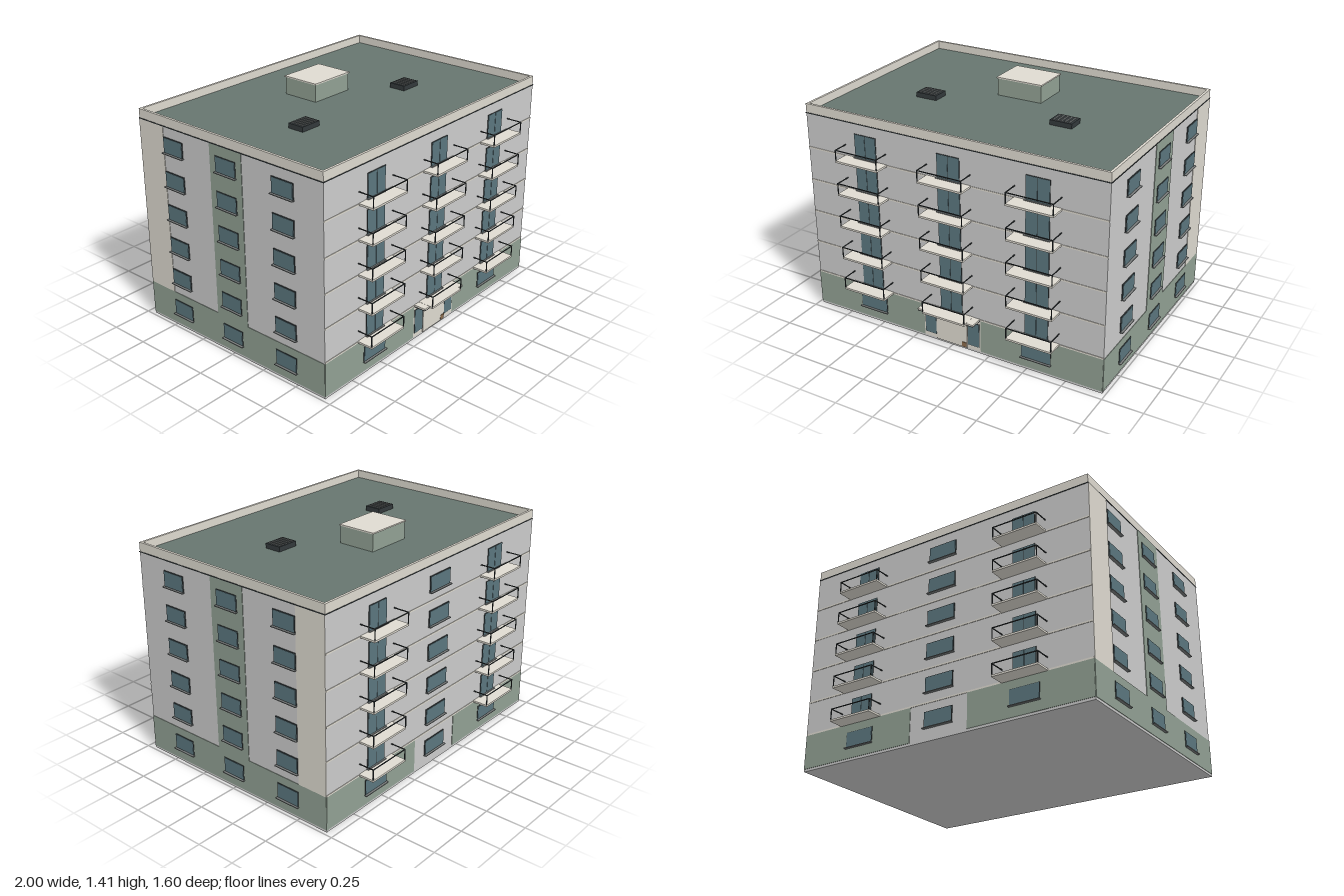
import * as THREE from 'three';

const mat = (color) => new THREE.MeshStandardMaterial({ color });
const M = {
  wall: mat(0xcccccc), green: mat(0x91a093), cream: mat(0xdedad0), glass: mat(0x5b767e),
  dark: mat(0x33393b), roof: mat(0x66756f), sill: mat(0x777b7b), wood: mat(0x8a6b4c),
};
const W = 0.98, D = 0.7, PITCH = 0.21, WALL_TOP = 1.29, BASE_TOP = 0.225;

// Axis-aligned block given by its limits
function block(parent, name, material, x0, x1, y0, y1, z0, z1) {
  const m = new THREE.Mesh(new THREE.BoxGeometry(x1 - x0, y1 - y0, z1 - z0), material);
  m.position.set((x0 + x1) / 2, (y0 + y1) / 2, (z0 + z1) / 2);
  m.name = name;
  parent.add(m);
  return m;
}

// Facade group: local z = 0 is the wall surface, +z points outward
function facade(parent, name, angle, dist) {
  const g = new THREE.Group();
  g.name = name;
  g.rotation.y = angle;
  g.position.set(Math.sin(angle) * dist, 0, Math.cos(angle) * dist);
  parent.add(g);
  return g;
}

function addWindow(parent, x, y, w, h = 0.095) {
  const g = new THREE.Group();
  g.name = 'window';
  g.position.set(x, y, 0);
  block(g, 'windowFrame', M.dark, -w / 2, w / 2, 0, h, 0, 0.006);
  block(g, 'windowGlass', M.glass, -w / 2 + 0.003, w / 2 - 0.003, 0.003, h - 0.003, 0, 0.008);
  block(g, 'windowSill', M.sill, -w / 2 - 0.004, w / 2 + 0.004, -0.005, 0, 0, 0.02);
  parent.add(g);
}

// Balcony with glazed door, slab and open railing; y is the slab's underside
function addBalcony(parent, x, y) {
  const g = new THREE.Group();
  g.name = 'balcony';
  g.position.set(x, y, 0);
  const w = 0.145, d = 0.1, top = 0.08, t = 0.005;
  block(g, 'doorFrame', M.dark, -0.074, 0.074, 0.012, 0.16, 0, 0.004);
  for (const s of [-1, 1])
    block(g, 'doorGlass', M.glass, s < 0 ? -0.072 : 0.002, s < 0 ? -0.002 : 0.072, 0.012, 0.158, 0, 0.006);
  block(g, 'doorThreshold', M.sill, -0.08, 0.08, 0.012, 0.017, 0, 0.015);
  block(g, 'balconySlab', M.cream, -w, w, 0, 0.012, 0, d);
  block(g, 'frontRail', M.dark, -w, w, top - t, top, d - t, d);
  for (const s of [-1, 1]) {
    const a = s < 0 ? -w : w - t;
    block(g, 'sideRail', M.dark, a, a + t, top - t, top, 0, d - t);
    block(g, 'railPost', M.dark, a, a + t, 0.012, top - t, d - t, d);
  }
  parent.add(g);
}

// Thin light bands marking the floors
function addFloorBands(f) {
  for (let i = 0; i < 5; i++)
    block(f, 'floorBand', M.cream, -W, W, 0.225 + i * PITCH, 0.235 + i * PITCH, 0, 0.003);
}

function addBasePanels(f) {
  block(f, 'basePanel', M.green, -W, -0.195, 0.015, BASE_TOP, 0, 0.003);
  block(f, 'basePanel', M.green, 0.195, W, 0.015, BASE_TOP, 0, 0.003);
}

function addEntrance(f) {
  const g = new THREE.Group();
  g.name = 'entrance';
  block(g, 'entranceSurround', M.cream, -0.195, 0.195, 0.015, 0.222, 0, 0.003);
  for (const x of [-0.148, 0.148]) {
    block(g, 'sidelightFrame', M.dark, x - 0.04, x + 0.04, 0.04, 0.2, 0, 0.005);
    block(g, 'sidelightGlass', M.glass, x - 0.037, x + 0.037, 0.043, 0.197, 0, 0.006);
  }
  block(g, 'entranceDoor', M.wood, -0.075, 0.075, 0.015, 0.21, 0, 0.006);
  block(g, 'entrancePanel', M.cream, -0.108, 0.105, 0.015, 0.197, 0, 0.009);
  block(g, 'letterBox', M.wood, 0.07, 0.102, 0.02, 0.05, 0, 0.012);
  block(g, 'canopy', M.cream, -0.19, 0.19, 0.227, 0.236, 0, 0.078);
  block(g, 'canopyEdge', M.dark, -0.19, 0.19, 0.222, 0.227, 0, 0.078);
  f.add(g);
}

function addRoof(g) {
  // Parapet as a hollow ring
  const ring = new THREE.Shape([[-W, -D], [W, -D], [W, D], [-W, D]].map((p) => new THREE.Vector2(...p)));
  const a = W - 0.015, b = D - 0.015;
  ring.holes.push(new THREE.Path([[-a, -b], [-a, b], [a, b], [a, -b]].map((p) => new THREE.Vector2(...p))));
  const geo = new THREE.ExtrudeGeometry(ring, { depth: 1.345 - WALL_TOP, bevelEnabled: false });
  geo.rotateX(-Math.PI / 2);
  const parapet = new THREE.Mesh(geo, M.cream);
  parapet.position.y = WALL_TOP;
  parapet.name = 'parapet';
  g.add(parapet);
  block(g, 'roofDeck', M.roof, -a, a, WALL_TOP - 0.002, WALL_TOP + 0.005, -b, b);
  block(g, 'parapetTrim', M.dark, -W - 0.003, W + 0.003, WALL_TOP - 0.005, WALL_TOP, -D - 0.003, D + 0.003);
  // Stair house
  block(g, 'roofHouse', M.green, -0.15, 0.147, WALL_TOP, 1.402, -0.333, -0.095);
  block(g, 'roofHouseCap', M.cream, -0.155, 0.152, 1.402, 1.41, -0.338, -0.09);
  // Slatted vents
  for (const x of [-0.49, 0.42]) {
    block(g, 'roofVent', M.dark, x - 0.07, x + 0.07, WALL_TOP, 1.325, 0.07, 0.177);
    for (let i = 0; i < 5; i++) {
      const sx = x - 0.05 + i * 0.025;
      block(g, 'ventSlat', M.sill, sx - 0.005, sx + 0.005, 1.325, 1.329, 0.077, 0.17);
    }
  }
}

export function createModel() {
  const g = new THREE.Group();
  g.name = 'apartmentBlock';
  block(g, 'walls', M.wall, -W, W, 0, WALL_TOP - 0.002, -D, D);
  addRoof(g);

  // Front and back: balconies on five floors, windows on the ground floor
  const front = facade(g, 'frontFacade', 0, D);
  const back = facade(g, 'backFacade', Math.PI, D);
  for (const f of [front, back]) {
    addFloorBands(f);
    addBasePanels(f);
    for (const x of [-0.562, 0.562]) {
      addWindow(f, x, 0.08, 0.19);
      for (let i = 0; i < 5; i++) addBalcony(f, x, 0.225 + i * PITCH);
    }
  }
  for (let i = 0; i < 5; i++) addBalcony(front, 0, 0.225 + i * PITCH);
  for (let i = 0; i < 6; i++) addWindow(back, 0, 0.08 + i * PITCH, 0.19);
  addEntrance(front);

  // Sides: green base and centre strip, cream strip at the back corner
  for (const s of [-1, 1]) {
    const f = facade(g, s > 0 ? 'leftFacade' : 'rightFacade', s * Math.PI / 2, W);
    block(f, 'basePanel', M.green, -D, D, 0.015, BASE_TOP, 0, 0.003);
    block(f, 'centreStrip', M.green, -0.122, 0.122, BASE_TOP, WALL_TOP - 0.005, 0, 0.003);
    const c = s * 0.6;
    block(f, 'cornerStrip', M.cream, c - 0.1, c + 0.1, BASE_TOP, WALL_TOP - 0.005, 0, 0.003);
    for (const x of [-0.42, 0, 0.42])
      for (let i = 0; i < 6; i++) addWindow(f, x, 0.08 + i * PITCH, 0.155);
  }
  return g;
}
